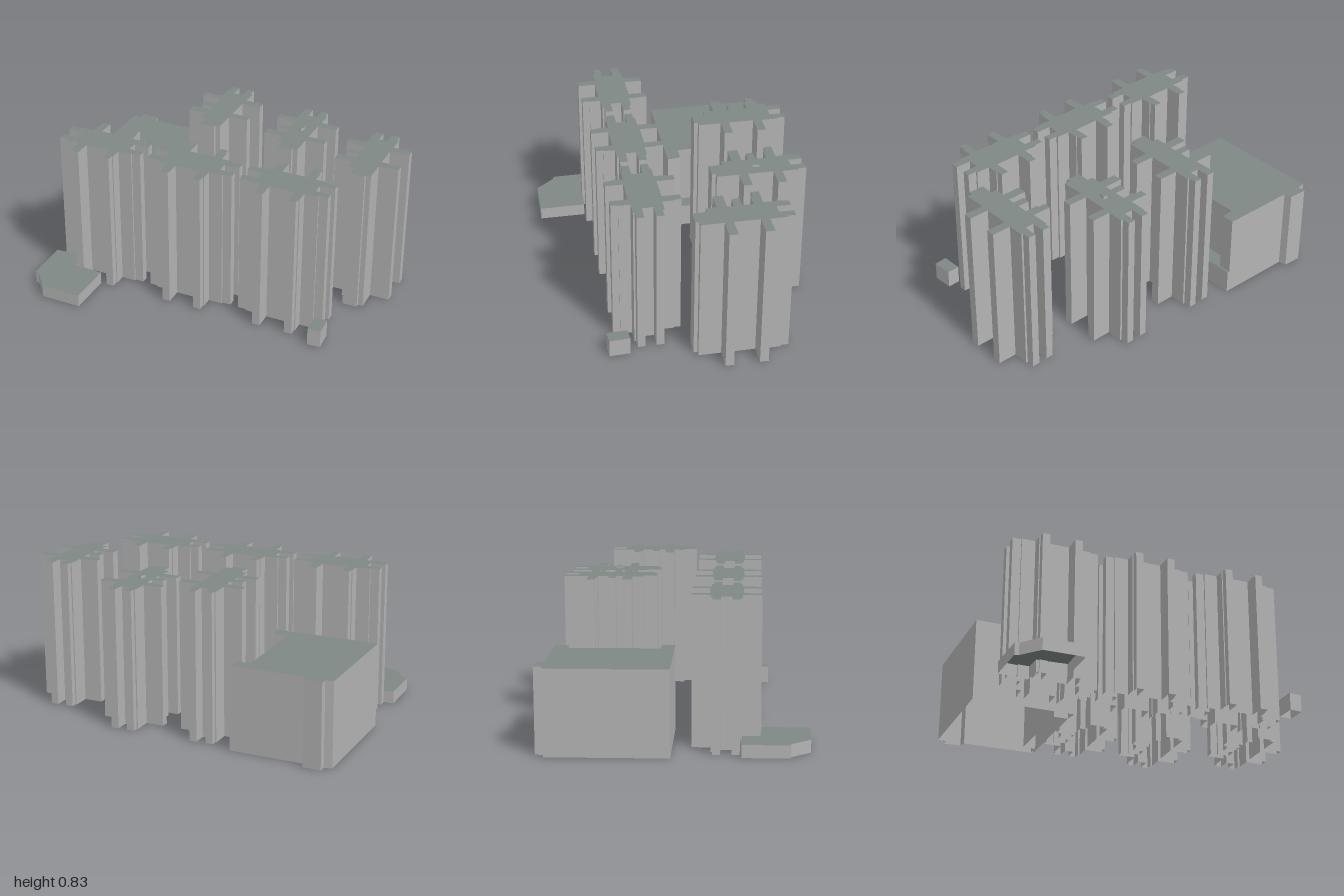
import * as THREE from 'three';

const wall = new THREE.MeshStandardMaterial({ color: 0xb3b3b3, side: THREE.DoubleSide });
wall.name = 'wall grey';
const roof = new THREE.MeshStandardMaterial({ color: 0x7e8884, side: THREE.DoubleSide });
roof.name = 'roof grey green';

// The whole estate is laid out on axes turned by this angle
const TURN = 0.22;

// Footprints are [x, z] corners in hundredths of a unit, clockwise from above
const slabTower = [
  [-25.4, -4.2], [-18, -4.2], [-18, -7.4], [-12.2, -7.4], [-12.2, -17.6], [-6.9, -17.6], [-6.9, -7],
  [-3.2, -7], [-3.2, -13.5], [1, -13.5], [1, -7], [6.9, -7], [6.9, -14], [8, -14], [8, -18.2], [12.2, -18.2],
  [12.2, -7.9], [22.2, -7.9], [22.2, -7.2], [25.4, -7.2], [25.4, -3], [18, -3], [18, 2.1],
  [25.7, 2.1], [25.7, 6.3], [21.2, 6.3], [21.2, 7.4], [12.2, 7.4], [12.2, 18], [7.4, 18], [7.4, 7],
  [-6.4, 7], [-6.4, 18], [-11.1, 18], [-11.1, 7], [-23.3, 7], [-23.3, 4.2], [-25.4, 4.2],
];

// Quarter of the cross-shaped tower, mirrored to all four corners
const quarter = [[3, -16.5], [3, -25], [7.2, -25], [7.2, -20], [8.2, -20], [8.2, -12.2], [14.5, -12.2], [14.5, -11.6], [18.4, -11.6], [18.4, -7.2], [8.8, -7.2]];
const flip = (sx, sz) => quarter.map(([x, z]) => [x * sx, z * sz]);
const crossTower = [
  ...flip(1, 1), ...flip(1, -1).reverse(), ...flip(-1, -1), ...flip(-1, 1).reverse(),
];

function place(points, cx, cz) {
  const c = Math.cos(TURN), s = Math.sin(TURN);
  return points.map(([x, z]) => [cx + x * c + z * s, cz - x * s + z * c]);
}

// Open-bottomed shell: a strip of walls plus a flat roof
function building(name, points, height, base = 0) {
  const p = points.map(([x, z]) => [x / 100, z / 100]);
  const pos = [];
  p.forEach((a, i) => {
    const b = p[(i + 1) % p.length];
    const a0 = [a[0], base, a[1]], a1 = [a[0], height, a[1]];
    const b0 = [b[0], base, b[1]], b1 = [b[0], height, b[1]];
    pos.push(...b0, ...a0, ...a1, ...b0, ...a1, ...b1);
  });
  const sides = new THREE.BufferGeometry();
  sides.setAttribute('position', new THREE.Float32BufferAttribute(pos, 3));
  sides.computeVertexNormals();
  const top = new THREE.ShapeGeometry(new THREE.Shape(p.map(([x, z]) => new THREE.Vector2(x, -z))));
  top.rotateX(-Math.PI / 2).translate(0, height, 0);

  const group = new THREE.Group();
  group.name = name;
  const walls = new THREE.Mesh(sides, wall);
  walls.name = name + ' walls';
  const cap = new THREE.Mesh(top, roof);
  cap.name = name + ' roof';
  group.add(walls, cap);
  return group;
}

export function createModel() {
  const model = new THREE.Group();
  model.name = 'housing estate';

  // Left-hand row of cross towers: centre x, centre z, height
  [[-31, -47.6, 0.82], [-19.2, 5.8, 0.82], [-7.6, 59.4, 0.825]].forEach(([x, z, h], i) =>
    model.add(building('cross tower ' + (i + 1), place(crossTower, x, z), h)));

  // Right-hand row of slab towers
  [[41.5, -19, 0.83], [52, 26.7, 0.785], [44.4, 79, 0.83]].forEach(([x, z, h], i) =>
    model.add(building('slab tower ' + (i + 1), place(slabTower, x, z), h)));

  // Lift housing on the middle slab tower
  model.add(building('lift housing', [[49.7, 25.7], [53.4, 25.7], [53.4, 28], [49.7, 28]], 0.8, 0.785));

  // Large hall at the back, with a low strip along its front
  model.add(building('hall', [
    [-10.3, -85.7], [53.7, -100], [55.3, -95.8], [59.5, -96.8], [61.1, -86.8], [57.2, -85],
    [65.6, -45], [58.5, -43.4], [56.6, -50.5], [7.7, -39.2], [9.3, -31.2], [2.4, -28.6],
  ], 0.47));
  model.add(building('hall front strip', [
    [7.7, -39.2], [56.6, -50.5], [58.5, -43.4], [65.6, -45], [65.8, -43.8], [9.3, -31.2],
  ], 0.13));

  // Low podium and small shed
  model.add(building('podium', [
    [-70.1, -69.8], [-45.5, -75.7], [-40.5, -59.5], [-51, -56.6], [-48.4, -39.7],
    [-73.8, -34], [-78.5, -56.6], [-70.1, -67.5],
  ], 0.07));
  model.add(building('shed', [[-25.7, 86.8], [-14.6, 83.8], [-12.7, 90.7], [-23.5, 93.7]], 0.1));

  return model;
}
